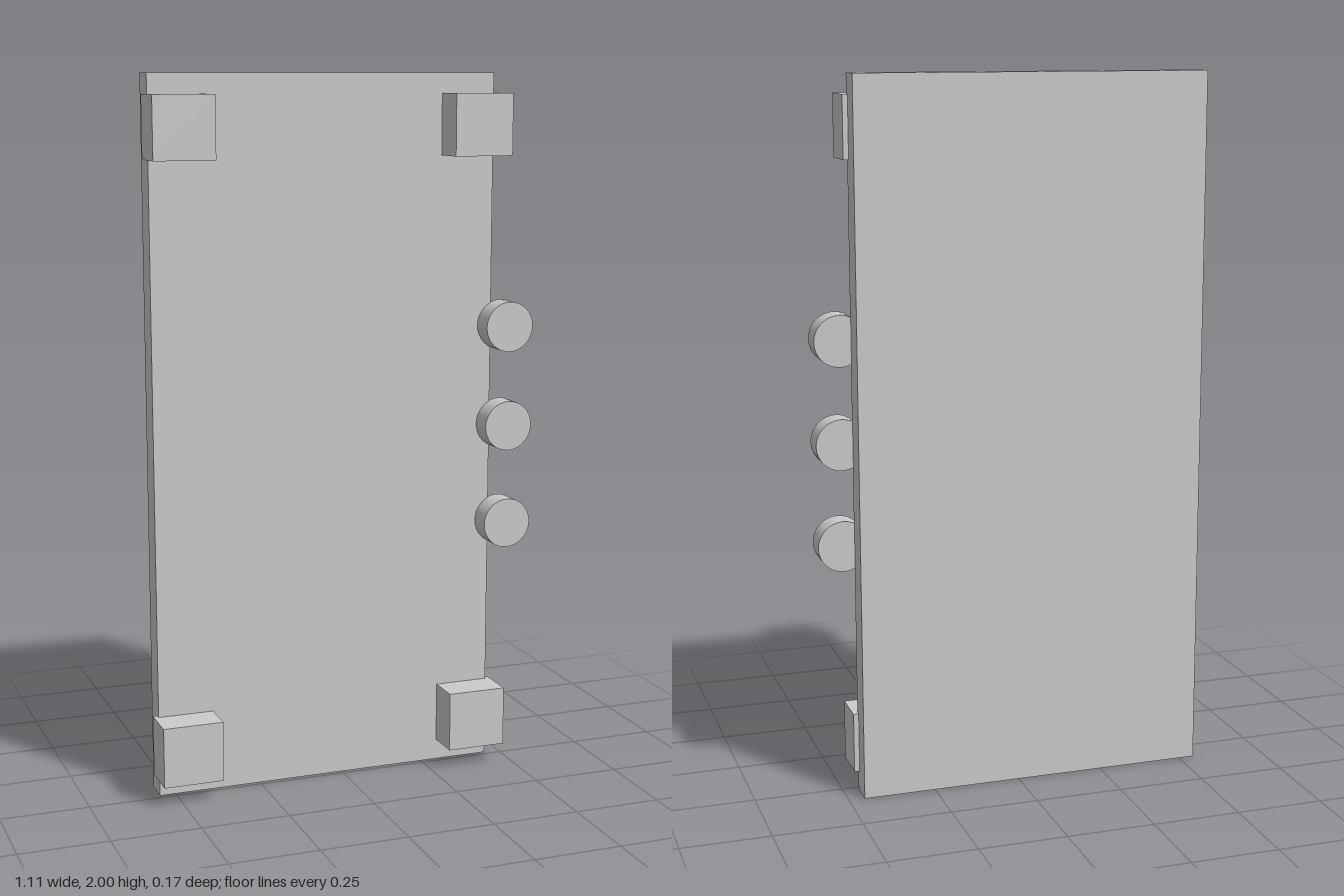
import * as THREE from 'three';

export function createModel() {
  const group = new THREE.Group();
  const material = new THREE.MeshStandardMaterial({ color: 0xcccccc });

  const add = (name, geometry, x, y, z) => {
    const mesh = new THREE.Mesh(geometry, material);
    mesh.name = name;
    mesh.position.set(x, y, z);
    group.add(mesh);
  };

  // Tall flat slab
  add('panel', new THREE.BoxGeometry(1, 2, 0.0714), -0.045, 1, -0.05);

  // Blocks at the four corners, sunk slightly into the slab
  const block = new THREE.BoxGeometry(0.171, 0.171, 0.114);
  for (const [side, x] of [['Right', -0.472], ['Left', 0.384]]) {
    for (const [level, y] of [['lower', 0.145], ['upper', 1.859]]) {
      add(`${level}${side}Block`, block, x, y, 0.0286);
    }
  }

  // Round buttons overhanging the left edge
  const button = new THREE.CylinderGeometry(0.0714, 0.0714, 0.0714, 32).rotateX(Math.PI / 2);
  [0.718, 1.004, 1.29].forEach((y, i) => add(`button${i + 1}`, button, 0.486, y, 0.0165));

  return group;
}
